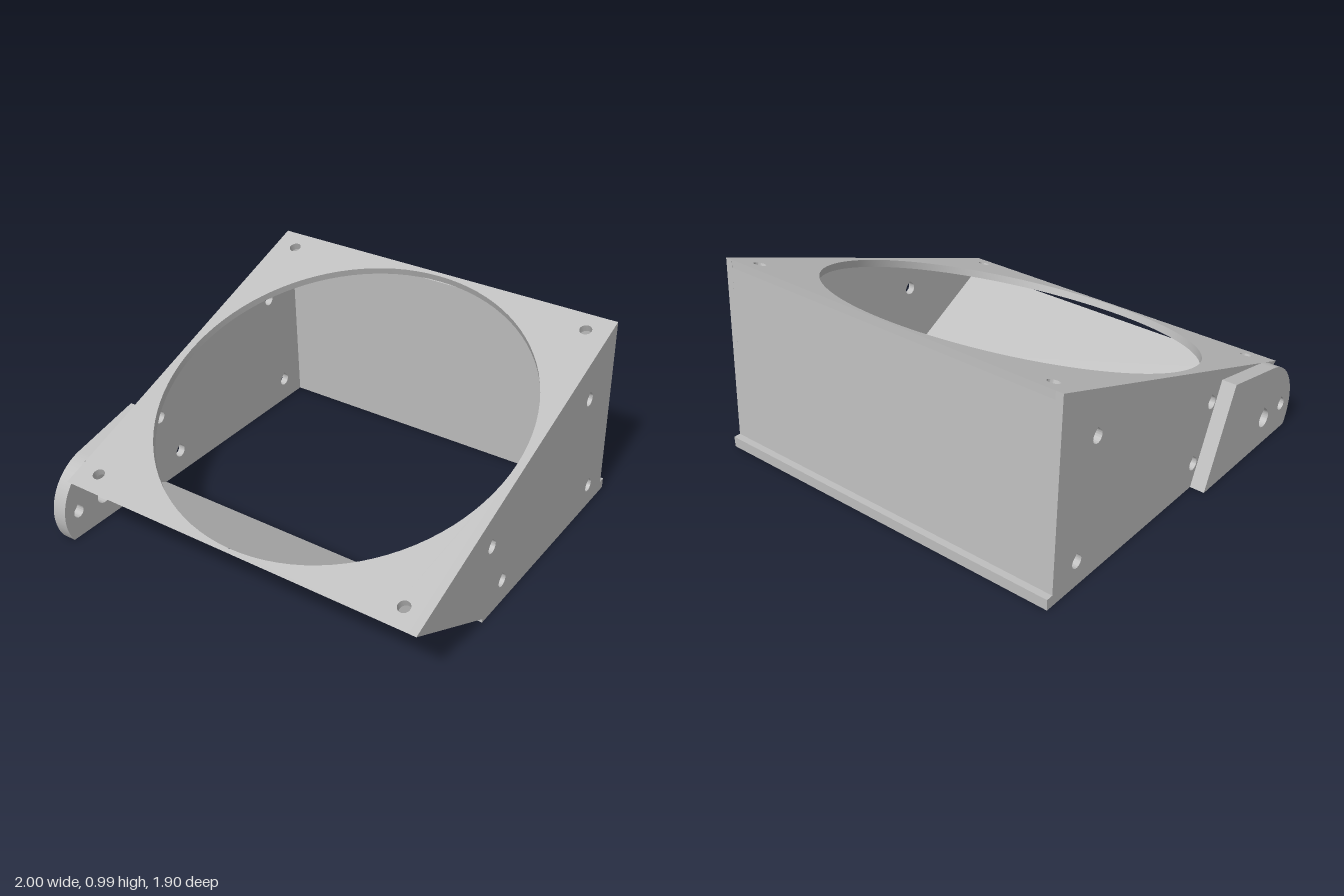
import * as THREE from 'three';
import { toCreasedNormals } from 'three/addons/utils/BufferGeometryUtils.js';

const LEFT = 1, RIGHT = -0.925, WALL = 0.0375;
const MID_X = (LEFT + RIGHT) / 2;

// Round hole with a pointed top
function teardrop(z, y, r) {
  const p = new THREE.Path();
  p.absarc(z, y, r, Math.PI * 0.75, Math.PI * 2.25, false);
  p.lineTo(z, y + r * Math.SQRT2);
  p.closePath();
  return p;
}

function circle(x, y, r) {
  const p = new THREE.Path();
  p.absarc(x, y, r, 0, Math.PI * 2, true);
  return p;
}

function polygon(points) {
  return new THREE.Shape(points.map(([z, y]) => new THREE.Vector2(z, y)));
}

// Extrude a (z, y) profile across x from x0 to x1
function across(shape, x0, x1) {
  const g = new THREE.ExtrudeGeometry(shape, { depth: x1 - x0, bevelEnabled: false, curveSegments: 32 });
  g.rotateY(-Math.PI / 2);
  g.translate(x1, 0, 0);
  return toCreasedNormals(g, 0.5);
}

export function createModel() {
  const group = new THREE.Group();
  const grey = new THREE.MeshStandardMaterial({ color: 0xbebebe });
  grey.name = 'grey';
  const add = (name, geometry) => {
    const mesh = new THREE.Mesh(geometry, grey);
    mesh.name = name;
    group.add(mesh);
  };

  // Side walls with teardrop screw holes
  const side = polygon([
    [0.33, 0], [0.33, 0.02], [0.912, 0.34], [-0.866, 0.99],
    [-0.915, 0.055], [-0.95, 0.055], [-0.95, 0],
  ]);
  for (const [z, y] of [[0.29, 0.395], [0.16, 0.125], [-0.63, 0.68], [-0.75, 0.125]]) {
    side.holes.push(teardrop(z, y, 0.032));
  }
  add('leftWall', across(side, LEFT - WALL, LEFT));
  add('rightWall', across(side, RIGHT, RIGHT + WALL));

  // Back wall with its bottom lip, and the thin sloping front wall
  const inner = [RIGHT + WALL, LEFT - WALL];
  add('backWall', across(polygon([
    [-0.868, 0.951], [-0.915, 0.055], [-0.95, 0.055], [-0.95, 0], [-0.9, 0], [-0.85, 0.945],
  ]), ...inner));
  add('frontWall', across(polygon([
    [0.285, 0], [0.33, 0], [0.33, 0.02], [0.845, 0.304],
  ]), ...inner));

  // Tilted top plate with the large opening and four corner holes
  const halfW = (inner[1] - inner[0]) / 2, halfL = 0.946;
  const plate = polygon([[-halfW, -halfL], [halfW, -halfL], [halfW, halfL], [-halfW, halfL]]);
  plate.holes.push(circle(0, 0, 0.9225));
  for (const u of [-0.845, 0.845]) {
    for (const v of [-0.845, 0.845]) plate.holes.push(circle(u, v, 0.03));
  }
  const top = new THREE.ExtrudeGeometry(plate, { depth: WALL, bevelEnabled: false, curveSegments: 48 });
  top.rotateX(-Math.PI / 2);
  top.translate(0, -WALL, 0);
  // Mitre the underside to meet the front and back slopes
  const pos = top.attributes.position;
  for (let i = 0; i < pos.count; i++) {
    if (pos.getY(i) > -0.01) continue;
    if (pos.getZ(i) > 0.93) pos.setZ(i, 0.9235);
    if (pos.getZ(i) < -0.93) pos.setZ(i, -0.933);
  }
  top.rotateX(Math.atan2(0.65, 1.778));
  top.translate(MID_X, 0.665, 0.023);
  add('topPlate', toCreasedNormals(top, 0.5));

  // Rounded mounting flange on the right side
  const flange = new THREE.Shape();
  flange.moveTo(0.15, 0);
  flange.lineTo(0.915, 0);
  flange.absarc(0.69, 0.14, 0.265, -0.556, 1.36, false);
  flange.lineTo(0.37, 0.48);
  flange.closePath();
  flange.holes.push(teardrop(0.69, 0.14, 0.045), teardrop(0.865, 0.14, 0.031));
  add('mountingFlange', across(flange, -1, RIGHT));

  return group;
}
